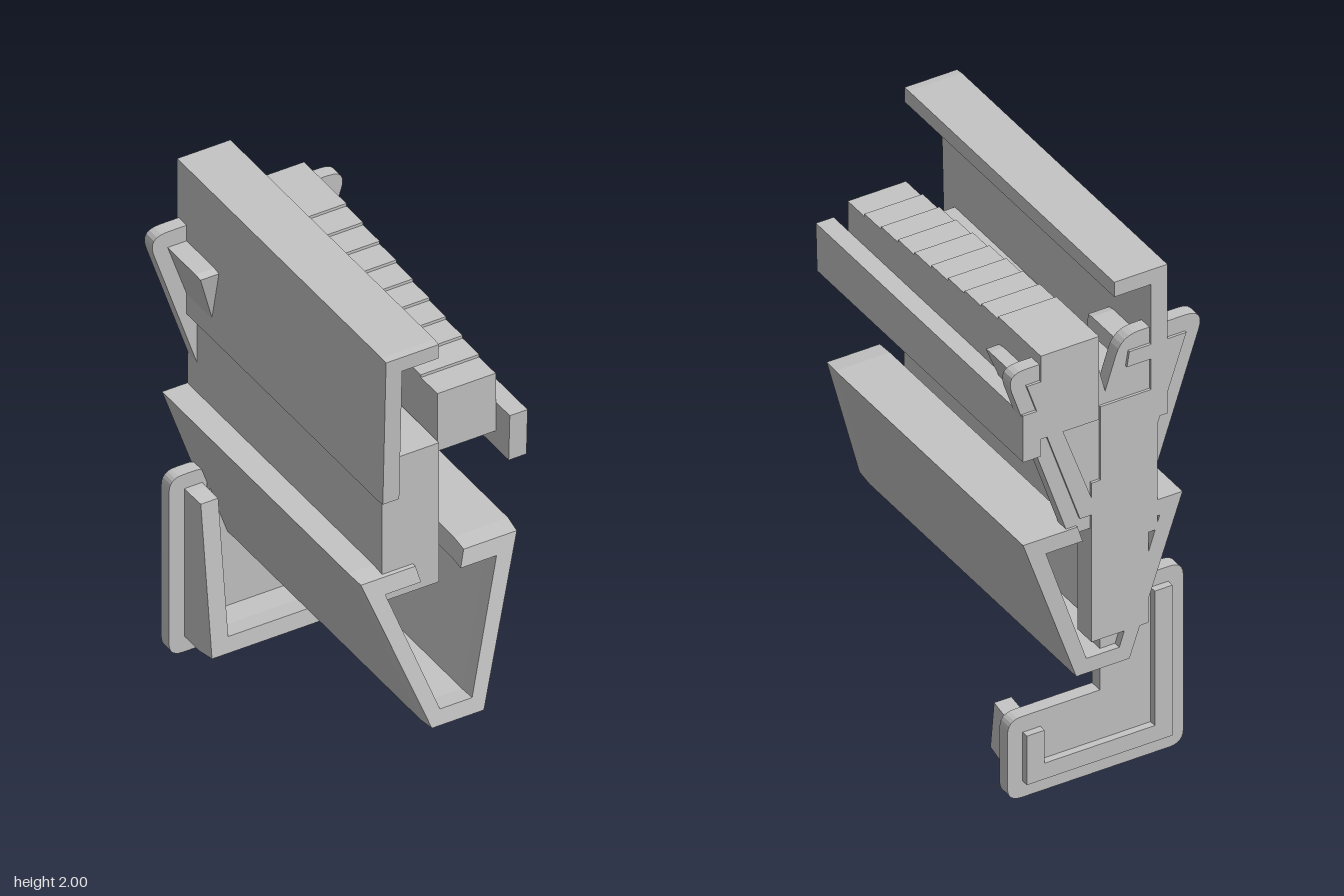
import * as THREE from 'three';

const BACK = -0.71;

// Outline from [x, y, cornerRadius] points
function outline(points) {
  const shape = new THREE.Shape();
  const n = points.length;
  points.forEach((p, i) => {
    const c = new THREE.Vector2(p[0], p[1]);
    const toward = (q) => {
      const v = new THREE.Vector2(q[0], q[1]).sub(c);
      return v.normalize().multiplyScalar(p[2] || 0).add(c);
    };
    const a = toward(points[(i + n - 1) % n]);
    const b = toward(points[(i + 1) % n]);
    if (i === 0) shape.moveTo(a.x, a.y);
    else shape.lineTo(a.x, a.y);
    if (p[2]) shape.quadraticCurveTo(c.x, c.y, b.x, b.y);
  });
  shape.closePath();
  return shape;
}

// Extrusion along z whose front end is cut by the rule front(y)
function rail(points, front, back = BACK) {
  const geo = new THREE.ExtrudeGeometry(outline(points), { depth: 1, bevelEnabled: false, curveSegments: 6 });
  const pos = geo.attributes.position;
  for (let i = 0; i < pos.count; i++) {
    pos.setZ(i, pos.getZ(i) > 0.5 ? front(pos.getY(i)) : back);
  }
  geo.computeVertexNormals();
  return geo;
}

// Rail whose front end narrows slightly over its last stretch
function taperedRail(points, front, taper = 0.07, scale = 0.975) {
  const geo = new THREE.ExtrudeGeometry(outline(points), { depth: 1, steps: 2, bevelEnabled: false });
  geo.computeBoundingBox();
  const c = geo.boundingBox.getCenter(new THREE.Vector3());
  const pos = geo.attributes.position;
  for (let i = 0; i < pos.count; i++) {
    const x = pos.getX(i), y = pos.getY(i), t = pos.getZ(i);
    if (t < 0.25) pos.setZ(i, BACK);
    else if (t < 0.75) pos.setZ(i, front(y) - taper);
    else pos.setXYZ(i, c.x + (x - c.x) * scale, c.y + (y - c.y) * scale, front(y));
  }
  geo.computeVertexNormals();
  return geo;
}

const rect = (x0, x1, y0, y1) => [[x0, y0], [x1, y0], [x1, y1], [x0, y1]];

export function createModel() {
  const group = new THREE.Group();
  const grey = new THREE.MeshStandardMaterial({ color: 0xc4c4c4 });
  grey.name = 'light grey';
  const add = (name, geo) => {
    const mesh = new THREE.Mesh(geo, grey);
    mesh.name = name;
    group.add(mesh);
  };

  // Tall hooked rail at the top
  add('topHookRail', taperedRail(
    [[-0.24, 1.39], [-0.175, 1.39], [-0.175, 1.94], [-0.03, 1.94], [-0.03, 2], [-0.24, 2]],
    (y) => 0.64 + (y - 1.39) * 0.035, 0.03, 0.99));

  // Central slab that drops into the channel
  add('centralSlab', rail(rect(-0.2, 0.025, 0.93, 1.51), () => 0.57));

  // Stepped block, drawn in side profile and turned to run along x
  const steps = [[-BACK, 1.46], [-BACK, 1.8]];
  const stepDepth = 0.109, levels = 10;
  for (let i = levels - 1; i >= 0; i--) {
    const y = 1.7 + (i * 0.1) / (levels - 1);
    const z = 0.55 - i * stepDepth;
    if (i < levels - 1) steps.push([-(z - stepDepth), y]);
    steps.push([-z, y]);
  }
  steps.push([-0.55, 1.46]);
  const stepGeo = new THREE.ExtrudeGeometry(outline(steps), { depth: 0.23, bevelEnabled: false });
  stepGeo.rotateY(Math.PI / 2).translate(0.03, 0, 0);
  add('steppedBlock', stepGeo);

  // Side bar beside the steps
  add('sideBar', rail(rect(0.26, 0.33, 1.39, 1.58), (y) => 0.635 + (y - 1.39) * 0.04));

  // Tapered channel with inward lips
  add('taperedChannel', taperedRail([
    [-0.3, 1.05], [-0.09, 0.44], [0.12, 0.44], [0.33, 1.05], [0.115, 1.05], [0.095, 0.985],
    [0.24, 0.985], [0.08, 0.5], [-0.05, 0.5], [-0.21, 0.985], [-0.065, 0.985], [-0.08, 1.05],
  ], (y) => 0.585 + (1.05 - y) * 0.205));

  // Pair of short slanted hooks on the upper plate
  for (const [name, s] of [['leftShortHook', 1], ['rightShortHook', -1]]) {
    const pts = [
      [0.315, 1.695], [0.09, 1.695], [0.08, 1.635], [0.235, 1.635], [0.035, 1.08], [0.105, 1.08],
    ].map(([x, y]) => [x * s, y]);
    add(name, taperedRail(pts, (y) => -0.565 + (y - 1.08) * 0.21, 0.03, 0.98));
  }

  // Upper end plate with a notch between two rounded ears
  add('upperEndPlate', rail([
    [-0.395, 1.76, 0.08], [-0.065, 1.76, 0.07], [0, 1.56], [0.05, 1.76, 0.07], [0.395, 1.76, 0.08],
    [0.145, 1.02, 0.03], [0.06, 1.02], [0.06, 0.56], [-0.165, 0.56], [-0.165, 1.07],
  ], () => -0.648, -0.7));

  // Thicker stem in the middle of the upper plate
  add('plateStem', rail(rect(-0.165, 0.06, 0.56, 1.21), () => -0.62));

  // Lower end plate
  add('lowerEndPlate', rail([
    [-0.32, 0, 0.055], [0.375, 0, 0.055], [0.375, 0.33, 0.055], [0.01, 0.33], [0.01, 0.57],
    [-0.17, 0.57], [-0.17, 0.74, 0.05], [-0.32, 0.74, 0.055],
  ], () => -0.63, -0.682));

  // Short J-shaped hook on the lower plate
  add('lowerHook', taperedRail([
    [-0.26, 0.68], [-0.26, 0.065], [0.315, 0.065], [0.315, 0.265], [0.245, 0.265],
    [0.245, 0.13], [-0.19, 0.13], [-0.19, 0.68],
  ], (y) => -0.46 - (y - 0.07) * 0.12));

  return group;
}
